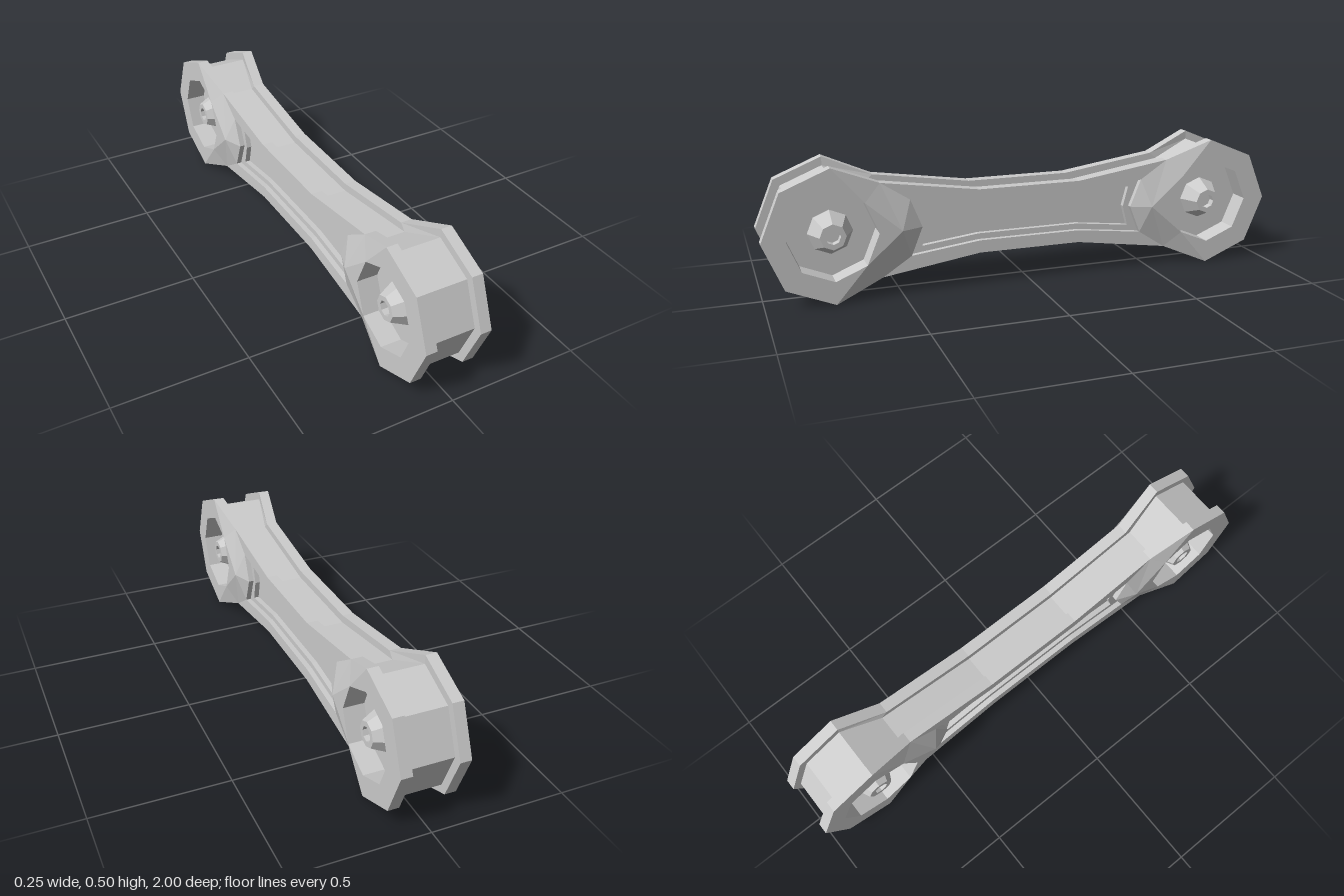
import * as THREE from 'three';

const CY = 0.252, CZ = 0.75; // centre height, pivot distance from the middle
const material = new THREE.MeshStandardMaterial({ color: 0xcccccc, flatShading: true });

// Octagon corner k (0 = far end, 2 = top, 4 = towards the middle)
const oct = (x, r, k) => [x, r * Math.sin(k * Math.PI / 4), CZ + r * Math.cos(k * Math.PI / 4)];
const atX = (pts, x) => pts.map((p, i) => [Array.isArray(x) ? x[i] : x, p[1], p[2]]);

// Triangles joining two rows of points
function strip(a, b) {
  const tris = [];
  for (let i = 0; i < a.length - 1; i++) {
    tris.push([a[i], b[i], b[i + 1]], [a[i], b[i + 1], a[i + 1]]);
  }
  return tris;
}

// Mirror one eighth of a part into all octants
function mirrored(name, tris) {
  const pos = [];
  for (const sx of [1, -1]) for (const sy of [1, -1]) for (const sz of [1, -1]) {
    for (const [a, b, c] of tris) {
      for (const p of sx * sy * sz > 0 ? [a, b, c] : [a, c, b]) {
        pos.push(p[0] * sx, p[1] * sy + CY, p[2] * sz);
      }
    }
  }
  const geo = new THREE.BufferGeometry();
  geo.setAttribute('position', new THREE.Float32BufferAttribute(pos, 3));
  geo.computeVertexNormals();
  const mesh = new THREE.Mesh(geo, material);
  mesh.name = name;
  return mesh;
}

export function createModel() {
  const group = new THREE.Group();
  group.name = 'linkArm';

  // Outlines from the far end over the top to the middle
  const rim = [0, 1, 2, 3].map(k => oct(0.125, 0.252, k));
  rim[3][0] = 0.093;
  rim.push([0.093, 0.123, 0.2], [0.093, 0.123, 0]);
  const grooveX = [0.083, 0.083, 0.083, 0.05, 0.05, 0.05];
  const rimInner = atX(rim, grooveX);
  const core = [0, 1, 2, 3].map(k => oct(0.083, 0.219, k));
  core[3][0] = 0.05;
  core.push([0.05, 0.093, 0.2], [0.05, 0.093, 0]);

  // Core: floor of the groove between the two flanges
  group.add(mirrored('core', strip(atX(core, 0), core)));

  // Flanges: groove walls, outer edge and side face with flared ends
  const hole = [0, 1, 2, 3, 4].map(k => oct(0.125, 0.165, k));
  const panel = [[0.093, 0, 0.42], [0.093, 0.107, 0.463], [0.093, 0.075, 0.2], [0.093, 0.075, 0]];
  const flare = [0.125, 0, 0.5];
  group.add(mirrored('sideFlanges', [
    ...strip(core, rimInner),
    ...strip(rimInner, rim),
    ...strip(rim.slice(0, 4), hole.slice(0, 4)),
    [rim[3], hole[3], flare],
    [hole[3], hole[4], flare],
    [rim[3], flare, panel[1]],
    [panel[1], flare, panel[0]],
    ...strip(rim.slice(3), panel.slice(1)),
  ]));

  // Two-step recessed panel on each side of the arm
  const ledge = atX(panel, 0.073);
  const inner = [[0.073, 0, 0.397], [0.073, 0.079, 0.418], [0.073, 0.053, 0.2], [0.073, 0.053, 0]];
  const floor = atX(inner, 0.053);
  const mid = [0.053, 0, 0];
  group.add(mirrored('recessedPanels', [
    ...strip(panel, ledge),
    ...strip(ledge, inner),
    ...strip(inner, floor),
    [floor[0], mid, floor[1]],
    [floor[1], mid, floor[2]],
    [floor[2], mid, floor[3]],
  ]));

  // Pivot sockets with a conical hub and a small bore
  const profile = [
    [0.165, 0.125], [0.165, 0.045], [0.083, 0.045], [0.048, 0.118],
    [0.028, 0.118], [0.028, 0.09], [0, 0.09],
  ].map(p => new THREE.Vector2(...p));
  const socketGeo = new THREE.LatheGeometry(profile, 8);
  for (const side of [1, -1]) for (const end of [1, -1]) {
    const socket = new THREE.Mesh(socketGeo, material);
    socket.name = `${end > 0 ? 'front' : 'back'}${side > 0 ? 'Left' : 'Right'}PivotSocket`;
    socket.rotation.z = -side * Math.PI / 2;
    socket.position.set(0, CY, end * CZ);
    group.add(socket);
  }
  return group;
}
